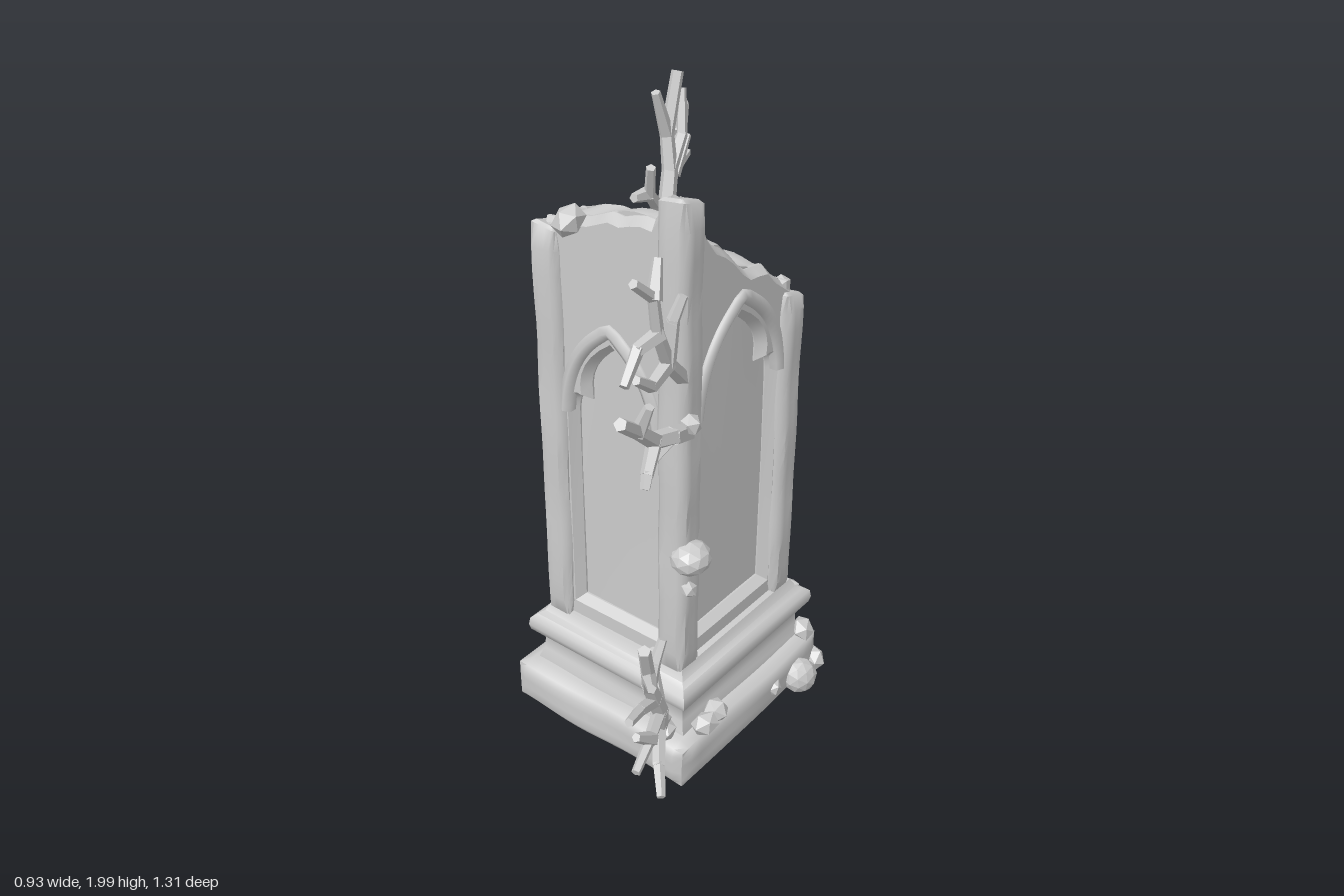
import * as THREE from 'three';
import { mergeGeometries, toCreasedNormals } from 'three/addons/utils/BufferGeometryUtils.js';

const stone = new THREE.MeshStandardMaterial({ color: 0xcccccc });
const rough = new THREE.MeshStandardMaterial({ color: 0xcccccc, flatShading: true });
const CX = 0.03, CZ = 0.01; // shaft axis

// Piecewise-linear lookup in a list of [position, height]
function lerpTable(table, t) {
  if (t <= table[0][0]) return table[0][1];
  for (let i = 1; i < table.length; i++) {
    const [a, ha] = table[i - 1], [b, hb] = table[i];
    if (t <= b) return ha + (hb - ha) * (t - a) / (b - a);
  }
  return table[table.length - 1][1];
}
// Height of the broken top: stepped along x at the front, falling towards the back
const alongX = [[-0.24, 1.69], [-0.12, 1.71], [0.0, 1.76], [0.18, 1.79], [0.22, 1.85], [0.3, 1.87]];
const alongZ = [[-0.28, 1.43], [-0.2, 1.47], [-0.12, 1.55], [0, 1.58], [0.07, 1.67], [0.15, 1.7], [0.19, 1.8], [0.23, 1.87]];
const topHeight = (x, z) => Math.min(lerpTable(alongX, x), lerpTable(alongZ, z));

function eachVertex(geo, fn) {
  const pos = geo.attributes.position, p = new THREE.Vector3();
  for (let i = 0; i < pos.count; i++) {
    p.fromBufferAttribute(pos, i);
    fn(p);
    pos.setXYZ(i, p.x, p.y, p.z);
  }
  return geo;
}
function wobble(p, amount) {
  const { x, y, z } = p;
  p.x += amount * Math.sin(y * 17 + z * 11);
  p.y += amount * Math.sin(x * 15 + z * 13 + 1);
  p.z += amount * Math.sin(y * 14 + x * 12 + 2);
}
function add(group, name, geo, material = stone) {
  const mesh = new THREE.Mesh(geo, material);
  mesh.name = name;
  group.add(mesh);
  return mesh;
}
// Weathered block between two corners: worn edges, slight waviness, optional broken top
function block(min, max, segs, wear, amount, top) {
  const size = max.map((m, i) => m - min[i]);
  const mid = max.map((m, i) => (m + min[i]) / 2);
  const geo = new THREE.BoxGeometry(...size, ...segs);
  eachVertex(geo, p => {
    const edge = ['x', 'y', 'z'].filter((a, i) => Math.abs(Math.abs(p[a]) - size[i] / 2) < 1e-5);
    const isTop = p.y > size[1] / 2 - 1e-5;
    if (edge.length > 1) edge.forEach(a => { p[a] -= Math.sign(p[a]) * wear; });
    p.set(p.x + mid[0], p.y + mid[1], p.z + mid[2]);
    if (top && isTop) p.y += top(p.x, p.z) - max[1];
    wobble(p, amount);
  });
  return toCreasedNormals(geo, 0.8);
}

// Outline of a recess with a pointed, cusped head
function archHole(a, bottom, spring, apex) {
  const h = apex - spring, s = new THREE.Path();
  s.moveTo(-a, bottom);
  s.lineTo(-a, spring);
  s.quadraticCurveTo(-a * 0.97, spring + h * 0.3, -a * 0.68, spring + h * 0.25);
  s.quadraticCurveTo(-a * 0.8, spring + h * 0.65, 0, apex);
  s.quadraticCurveTo(a * 0.8, spring + h * 0.65, a * 0.68, spring + h * 0.25);
  s.quadraticCurveTo(a * 0.97, spring + h * 0.3, a, spring);
  s.lineTo(a, bottom);
  return s;
}

// One side of the shaft: wall set back behind the posts, splayed recess, arch moulding
function side(name, half, out, a, apex, angle, heightAt) {
  const g = new THREE.Group();
  g.name = name;
  const w = half - 0.05, spring = apex - 0.26;
  const shape = new THREE.Shape();
  shape.moveTo(-w, 0.38);
  shape.lineTo(w, 0.38);
  for (let i = 0; i <= 12; i++) {
    const u = w - (2 * w * i) / 12;
    shape.lineTo(u, heightAt(u) - 0.025 + 0.006 * Math.sin(i * 2.3));
  }
  shape.holes.push(archHole(a, 0.44, spring, apex));
  const wall = new THREE.ExtrudeGeometry(shape, {
    depth: 0.01, bevelThickness: 0.03, bevelSize: 0.02, bevelSegments: 1, curveSegments: 6 });
  wall.translate(0, 0, out - 0.065);
  add(g, 'recessedWall', toCreasedNormals(wall, 0.5));

  const b = a + 0.005, pts = [];
  for (const s of [-1, 1]) {
    const curve = new THREE.QuadraticBezierCurve(
      new THREE.Vector2(s * b, spring), new THREE.Vector2(s * b * 0.9, apex - 0.05), new THREE.Vector2(0, apex + 0.04));
    const run = curve.getPoints(8);
    pts.push(...(s < 0 ? run : run.reverse().slice(1)));
  }
  const path = new THREE.CatmullRomCurve3(pts.map(p => new THREE.Vector3(p.x, p.y, out - 0.03)), false, 'centripetal');
  add(g, 'archMoulding', new THREE.TubeGeometry(path, 30, 0.024, 6));
  g.rotation.y = angle;
  g.position.set(CX, 0, CZ);
  return g;
}

// Coral fan: branches are [z, y, z, y, ...] runs, x follows z by a slope,
// and side branches lean a little out of the plane
function coral(name, x0, z0, slope, lean, branches) {
  const parts = [], up = new THREE.Vector3(0, 1, 0), radius = 0.027;
  branches.forEach((run, b) => {
    const n = run.length / 2;
    const pts = Array.from({ length: n }, (_, i) => {
      const z = run[2 * i], y = run[2 * i + 1];
      const offset = 0.01 * Math.sin(z * 40 + y * 31) + lean * Math.sin(b * 2.4) * i / (n - 1);
      return new THREE.Vector3(x0 + slope * (z - z0) + offset, y, z);
    });
    const r = i => radius * (b ? 0.85 : 1.15) * (1 - 0.4 * i / (n - 1));
    for (let i = 0; i < n - 1; i++) {
      const d = pts[i + 1].clone().sub(pts[i]);
      const geo = new THREE.CylinderGeometry(r(i + 1), r(i), d.length() + radius * 0.4, 5);
      geo.applyQuaternion(new THREE.Quaternion().setFromUnitVectors(up, d.normalize()));
      const c = pts[i].clone().add(pts[i + 1]).multiplyScalar(0.5);
      parts.push(geo.translate(c.x, c.y, c.z));
    }
  });
  const mesh = new THREE.Mesh(mergeGeometries(parts), rough);
  mesh.name = name;
  return mesh;
}

export function createModel() {
  const model = new THREE.Group();
  model.name = 'ruinedPillar';

  // Plinth and stepped square moulding
  add(model, 'plinth', block([-0.32, 0.012, -0.367], [0.372, 0.172, 0.378], [16, 5, 16], 0.012, 0.003));
  const profile = [[0.32, 0.15], [0.318, 0.18], [0.305, 0.21], [0.302, 0.25], [0.315, 0.275], [0.335, 0.29], [0.34, 0.31], [0.336, 0.335], [0.318, 0.35], [0.3, 0.36], [0.285, 0.39], [0.2, 0.41]];
  const moulding = new THREE.LatheGeometry(
    profile.map(([r, y]) => new THREE.Vector2(r * Math.SQRT2, y)), 4, Math.PI / 4);
  moulding.scale(0.92, 1, 1).translate(CX, 0, 0);
  add(model, 'baseMoulding', toCreasedNormals(moulding, 0.8));

  // Core with the broken sloping top
  add(model, 'core', block([-0.18, 0.36, -0.22], [0.24, 1.5, 0.24], [14, 4, 14], 0, 0.002,
    (x, z) => topHeight(x, z) + 0.008 * Math.sin(x * 31 + z * 23)));

  // Corner posts, each broken at its own height
  const posts = [['frontLeftPost', 1, 1, 1.87], ['frontRightPost', -1, 1, 1.69], ['backLeftPost', 1, -1, 1.44], ['backRightPost', -1, -1, 1.42]];
  for (const [name, sx, sz, h] of posts) {
    const x = CX + sx * 0.22, z = CZ + sz * 0.24;
    add(model, name, block([x - 0.05, 0.36, z - 0.05], [x + 0.05, h, z + 0.05], [5, 18, 5], 0.01, 0.002,
      (px, pz) => h + sx * (px - x) * 0.15 + (pz - z) * 0.3 - 0.012));
  }

  // Four arched sides
  model.add(side('frontSide', 0.27, 0.29, 0.165, 1.39, 0, u => topHeight(u + CX, 0.26)));
  model.add(side('backSide', 0.27, 0.29, 0.165, 1.4, Math.PI, u => topHeight(CX - u, -0.2)));
  model.add(side('leftSide', 0.29, 0.27, 0.19, 1.47, Math.PI / 2, u => topHeight(0.28, CZ - u)));
  model.add(side('rightSide', 0.29, 0.27, 0.19, 1.47, -Math.PI / 2, u => topHeight(-0.22, CZ + u)));

  // Coral fans
  model.add(coral('topCoral', -0.11, -0.14, 0.4, 0.02, [
    [-0.1, 1.5, -0.14, 1.62, -0.17, 1.72, -0.18, 1.82, -0.23, 1.985],
    [-0.12, 1.58, -0.05, 1.67, 0.01, 1.72, 0.04, 1.81], [0.01, 1.72, 0.07, 1.73],
    [-0.17, 1.72, -0.25, 1.8, -0.28, 1.92], [-0.25, 1.8, -0.35, 1.85],
    [-0.14, 1.62, -0.25, 1.68, -0.36, 1.7], [-0.25, 1.68, -0.32, 1.77], [-0.18, 1.82, -0.13, 1.95]]));
  model.add(coral('upperFrontCoral', 0.28, 0.28, 0.2, 0.02, [
    [0.25, 1.2, 0.35, 1.24, 0.42, 1.26, 0.5, 1.33, 0.59, 1.4],
    [0.42, 1.26, 0.48, 1.2, 0.5, 1.17], [0.35, 1.24, 0.41, 1.19], [0.5, 1.33, 0.5, 1.41],
    [0.27, 1.37, 0.36, 1.46, 0.42, 1.57, 0.44, 1.68, 0.51, 1.74],
    [0.42, 1.57, 0.5, 1.56, 0.57, 1.5], [0.36, 1.46, 0.35, 1.58, 0.33, 1.64],
    [0.44, 1.68, 0.4, 1.76], [0.36, 1.46, 0.45, 1.44, 0.52, 1.49]]));
  model.add(coral('lowerFrontCoral', 0.26, 0.33, 0.53, 0.035, [
    [0.3, 0.18, 0.38, 0.24, 0.42, 0.34, 0.46, 0.42, 0.5, 0.5, 0.55, 0.6, 0.6, 0.73],
    [0.5, 0.5, 0.48, 0.58, 0.45, 0.64], [0.46, 0.42, 0.56, 0.47, 0.64, 0.5], [0.55, 0.6, 0.62, 0.64],
    [0.42, 0.34, 0.54, 0.36, 0.64, 0.33], [0.54, 0.36, 0.61, 0.42],
    [0.38, 0.24, 0.48, 0.2, 0.54, 0.16], [0.42, 0.34, 0.39, 0.45, 0.4, 0.53]]));
  model.add(coral('lowerBackCoral', -0.25, -0.3, 0.54, 0.02, [
    [-0.26, 0.33, -0.36, 0.42, -0.44, 0.52, -0.5, 0.62, -0.54, 0.74, -0.55, 0.88],
    [-0.28, 0.38, -0.34, 0.56, -0.36, 0.7, -0.36, 0.85, -0.36, 1.02],
    [-0.36, 0.7, -0.42, 0.85, -0.43, 0.99], [-0.5, 0.62, -0.58, 0.72, -0.62, 0.84],
    [-0.44, 0.52, -0.54, 0.54, -0.64, 0.52], [-0.54, 0.54, -0.6, 0.61, -0.65, 0.62],
    [-0.36, 0.42, -0.48, 0.4, -0.62, 0.37], [-0.48, 0.4, -0.52, 0.33, -0.57, 0.27],
    [-0.36, 0.42, -0.4, 0.33, -0.46, 0.25], [-0.34, 0.56, -0.42, 0.66, -0.46, 0.8]]));
  model.add(coral('backFaceCoral', -0.17, -0.32, -1.6, 0.02, [
    [-0.3, 0.36, -0.35, 0.47, -0.4, 0.57, -0.44, 0.68, -0.48, 0.8],
    [-0.4, 0.57, -0.46, 0.6, -0.49, 0.66], [-0.35, 0.47, -0.38, 0.62, -0.39, 0.72]]));

  // Rocks and shells: x, y, z, radius
  const rocks = [
    [0.305, 0.8, 0.265, 0.06], [-0.225, 1.05, -0.275, 0.06], [0.385, 0.07, -0.23, 0.06], [0.365, 0.06, -0.34, 0.045],
    [-0.1, 1.72, 0.28, 0.05], [0.3, 1.24, 0.27, 0.035], [0.3, 0.69, 0.27, 0.03], [0.355, 0.19, 0.25, 0.045],
    [0.345, 0.19, 0.18, 0.04], [0.33, 0.18, -0.32, 0.045], [0.365, 0.1, -0.1, 0.03], [-0.25, 0.37, -0.28, 0.05],
    [-0.2, 0.36, -0.31, 0.04], [0.24, 1.44, -0.23, 0.035], [0.28, 0.34, -0.3, 0.04], [-0.27, 0.19, -0.32, 0.04],
    [-0.12, 0.12, -0.35, 0.06], [0.27, 0.18, 0.34, 0.04], [0.02, 0.04, -0.35, 0.04], [-0.26, 0.36, 0.05, 0.03]];
  const rockGroup = new THREE.Group();
  rockGroup.name = 'rocksAndShells';
  rocks.forEach(([x, y, z, r], i) => {
    const rock = add(rockGroup, 'rock', new THREE.IcosahedronGeometry(r, r > 0.055 ? 1 : 0), rough);
    rock.position.set(x, y, z);
    rock.rotation.set(i, i * 1.7, i * 0.6);
    rock.scale.set(1, 0.85, 1.05);
  });
  model.add(rockGroup);
  return model;
}
